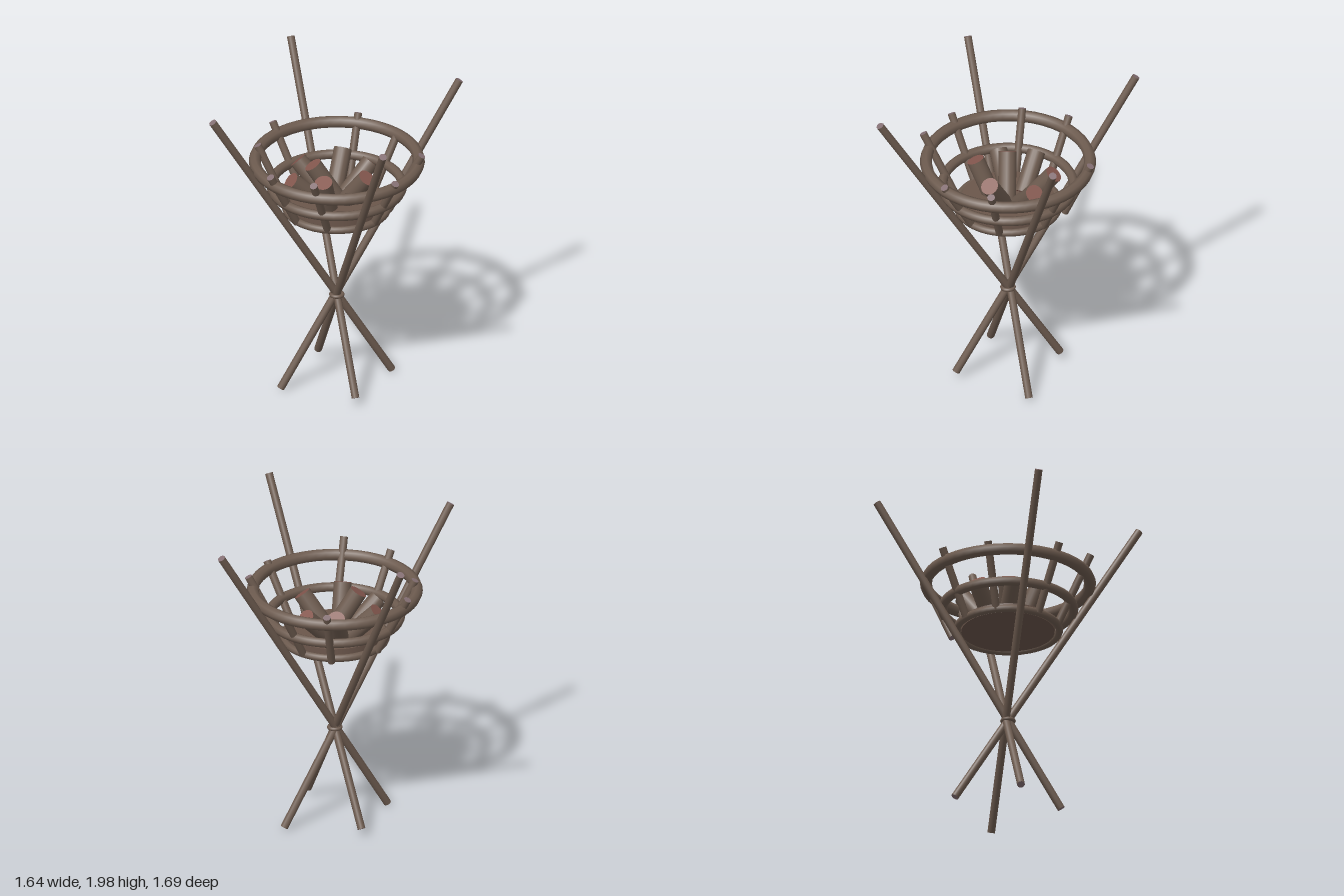
import * as THREE from 'three';

const paint = (color) => new THREE.MeshStandardMaterial({ color });

export function createModel() {
  const model = new THREE.Group();
  model.name = 'poleBrazier';
  const wood = paint(0x6e5c50);
  const poleEnd = paint(0x857074);
  const logEnd = paint(0x85584f);
  const floorWood = paint(0x6b564b);

  // Round bar between two points, with its own colour on the cut ends
  function bar(name, from, to, radius, end, sides = 12) {
    const a = new THREE.Vector3(...from);
    const b = new THREE.Vector3(...to);
    const dir = b.clone().sub(a);
    const geometry = new THREE.CylinderGeometry(radius, radius, dir.length(), sides);
    const mesh = new THREE.Mesh(geometry, [wood, end, end]);
    mesh.position.copy(a).add(b).multiplyScalar(0.5);
    mesh.quaternion.setFromUnitVectors(new THREE.Vector3(0, 1, 0), dir.normalize());
    mesh.name = name;
    model.add(mesh);
  }

  function ring(name, y, radius, tube) {
    const mesh = new THREE.Mesh(new THREE.TorusGeometry(radius, tube, 8, 48), wood);
    mesh.rotation.x = Math.PI / 2;
    mesh.position.y = y;
    mesh.name = name;
    model.add(mesh);
  }

  // Four crossing poles: one pair leaning sideways, one pair front to back
  for (const s of [-1, 1]) {
    bar('sidePole', [-0.36 * s, 0.02, -0.012], [0.8 * s, 1.94, -0.015], 0.024, poleEnd);
    bar('frontBackPole', [0, 0.06, -0.335 * s], [0, 1.98, 0.825 * s], 0.024, poleEnd);
  }

  // Lashing where the poles cross
  ring('lashing', 0.61, 0.036, 0.012);

  // Basket hoops and floor
  ring('topHoop', 1.535, 0.5, 0.037);
  ring('middleHoop', 1.365, 0.4, 0.03);
  ring('bottomHoop', 1.222, 0.313, 0.024);
  const floor = new THREE.Mesh(new THREE.CylinderGeometry(0.285, 0.285, 0.06, 48), floorWood);
  floor.position.y = 1.24;
  floor.name = 'basketFloor';
  model.add(floor);

  // Uneven basket staves: foot x, foot z, tip x, tip y, tip z
  const staves = [
    [-0.13, -0.3, -0.243, 1.61, -0.476],
    [0.19, -0.3, 0.295, 1.595, -0.43],
    [0.29, -0.13, 0.45, 1.53, -0.18],
    [0.28, 0.15, 0.455, 1.62, 0.265],
    [0.14, 0.28, 0.205, 1.58, 0.48],
    [-0.157, 0.27, -0.31, 1.64, 0.44],
    [-0.3, 0.113, -0.5, 1.61, 0.193],
    [-0.275, -0.145, -0.427, 1.6, -0.238],
  ];
  for (const [fx, fz, tx, ty, tz] of staves) {
    bar('basketStave', [fx, 1.22, fz], [tx, ty, tz], 0.024, poleEnd);
  }

  // Firewood: foot x, foot z, tip x, tip y, tip z
  const logs = [
    [-0.03, -0.11, -0.165, 1.45, -0.24],
    [0.03, -0.12, 0.13, 1.47, -0.25],
    [0.07, -0.05, 0.25, 1.44, -0.085],
    [0.03, 0.04, 0.135, 1.475, 0.165],
    [-0.08, 0.08, -0.145, 1.49, 0.16],
    [-0.1, -0.03, -0.285, 1.43, -0.035],
    [0.01, 0.01, -0.14, 1.51, -0.045],
  ];
  for (const [fx, fz, tx, ty, tz] of logs) {
    bar('firewoodLog', [fx, 1.26, fz], [tx, ty, tz], 0.055, logEnd, 16);
  }

  return model;
}
